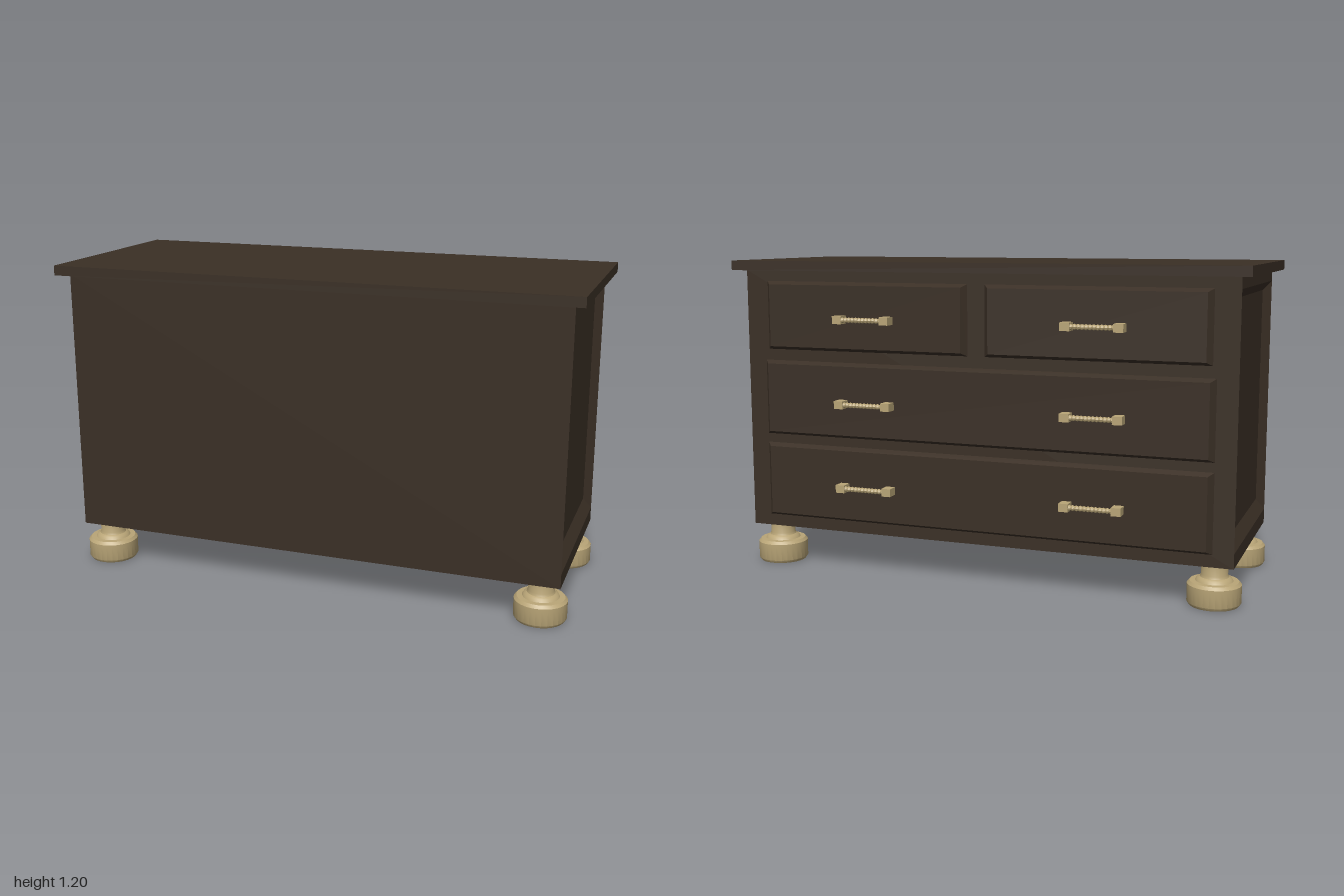
import * as THREE from 'three';
import { toCreasedNormals } from 'three/addons/utils/BufferGeometryUtils.js';

// Flat-faced loft through rectangles [d, u0, u1, v0, v1], d rising; (u, v, d) is mapped to xyz by place
function rectLoft(rings, place) {
  const pos = [];
  const loops = rings.map(([d, u0, u1, v0, v1]) =>
    [[u0, v0], [u1, v0], [u1, v1], [u0, v1]].map(([u, v]) => place(u, v, d)));
  const quad = (a, b, c, d) => pos.push(...a, ...b, ...c, ...a, ...c, ...d);
  for (let i = 0; i + 1 < loops.length; i++) {
    const a = loops[i], b = loops[i + 1];
    for (let k = 0; k < 4; k++) {
      const n = (k + 1) % 4;
      quad(a[k], a[n], b[n], b[k]);
    }
  }
  const s = loops[0], e = loops[loops.length - 1];
  quad(s[3], s[2], s[1], s[0]);
  quad(e[0], e[1], e[2], e[3]);
  const g = new THREE.BufferGeometry();
  g.setAttribute('position', new THREE.Float32BufferAttribute(pos, 3));
  g.computeVertexNormals();
  return g;
}

function lathe(points, sides) {
  const g = new THREE.LatheGeometry(points.map(p => new THREE.Vector2(...p)), sides);
  return toCreasedNormals(g, 0.6);
}

export function createModel() {
  const model = new THREE.Group();
  model.name = 'chestOfDrawers';

  const darkWood = new THREE.MeshStandardMaterial({ color: 0x3a2f25 });
  darkWood.name = 'darkWood';
  const paleBrass = new THREE.MeshStandardMaterial({ color: 0xb9a577 });
  paleBrass.name = 'paleBrass';

  const add = (parent, name, geometry, material, x = 0, y = 0, z = 0) => {
    const mesh = new THREE.Mesh(geometry, material);
    mesh.name = name;
    mesh.position.set(x, y, z);
    parent.add(mesh);
    return mesh;
  };

  // Top slab
  add(model, 'top', new THREE.BoxGeometry(2, 0.037, 0.813), darkWood, 0, 1.186, 0.012);

  // Carcass with a sunken, bevelled panel in each end
  const panel = [0.255, 1.09, -0.32, 0.34];
  const opening = [0.21, 1.125, -0.35, 0.373];
  const outer = [0.155, 1.168, -0.35, 0.373];
  add(model, 'carcass', rectLoft([
    [-0.93, ...panel], [-0.96, ...opening], [-0.96, ...outer],
    [0.96, ...outer], [0.96, ...opening], [0.93, ...panel],
  ], (u, v, d) => [d, u, v]), darkWood);

  // Bevelled drawer faces: two small ones over two wide ones
  const drawers = [
    [-0.87, -0.033, 0.862, 1.127], [0.033, 0.87, 0.862, 1.127],
    [-0.885, 0.885, 0.527, 0.82], [-0.885, 0.885, 0.2, 0.493],
  ];
  for (const [x0, x1, y0, y1] of drawers) {
    add(model, 'drawerFront', rectLoft([
      [-0.373, x0 + 0.02, x1 - 0.02, y0 + 0.013, y1 - 0.013],
      [-0.349, x0, x1, y0, y1],
    ], (u, v, d) => [u, v, d]), darkWood);
  }

  // Handles: two square posts joined by a ribbed grip
  const post = new THREE.BoxGeometry(0.036, 0.03, 0.047);
  const ribs = [[0, -0.085]];
  for (let i = 0; i <= 24; i++) ribs.push([i % 2 ? 0.011 : 0.008, -0.085 + i * 0.17 / 24]);
  ribs.push([0, 0.085]);
  const grip = lathe(ribs, 8);
  grip.rotateZ(Math.PI / 2);
  for (const x of [-0.455, 0.44]) {
    for (const y of [0.34, 0.665, 0.987]) {
      const handle = new THREE.Group();
      handle.name = 'handle';
      handle.position.set(x, y, 0);
      for (const s of [-1, 1]) add(handle, 'handlePost', post, paleBrass, s * 0.097, 0, -0.394);
      add(handle, 'handleGrip', grip, paleBrass, 0, 0, -0.406);
      model.add(handle);
    }
  }

  // Turned bun feet with a narrow neck
  const foot = lathe([
    [0, 0], [0.09, 0], [0.0975, 0.011], [0.0975, 0.076], [0.088, 0.087],
    [0.068, 0.088], [0.062, 0.098], [0.052, 0.103], [0.048, 0.112], [0.048, 0.157],
  ], 28);
  for (const x of [-0.88, 0.88]) {
    for (const z of [-0.272, 0.297]) add(model, 'foot', foot, paleBrass, x, 0, z);
  }

  return model;
}
